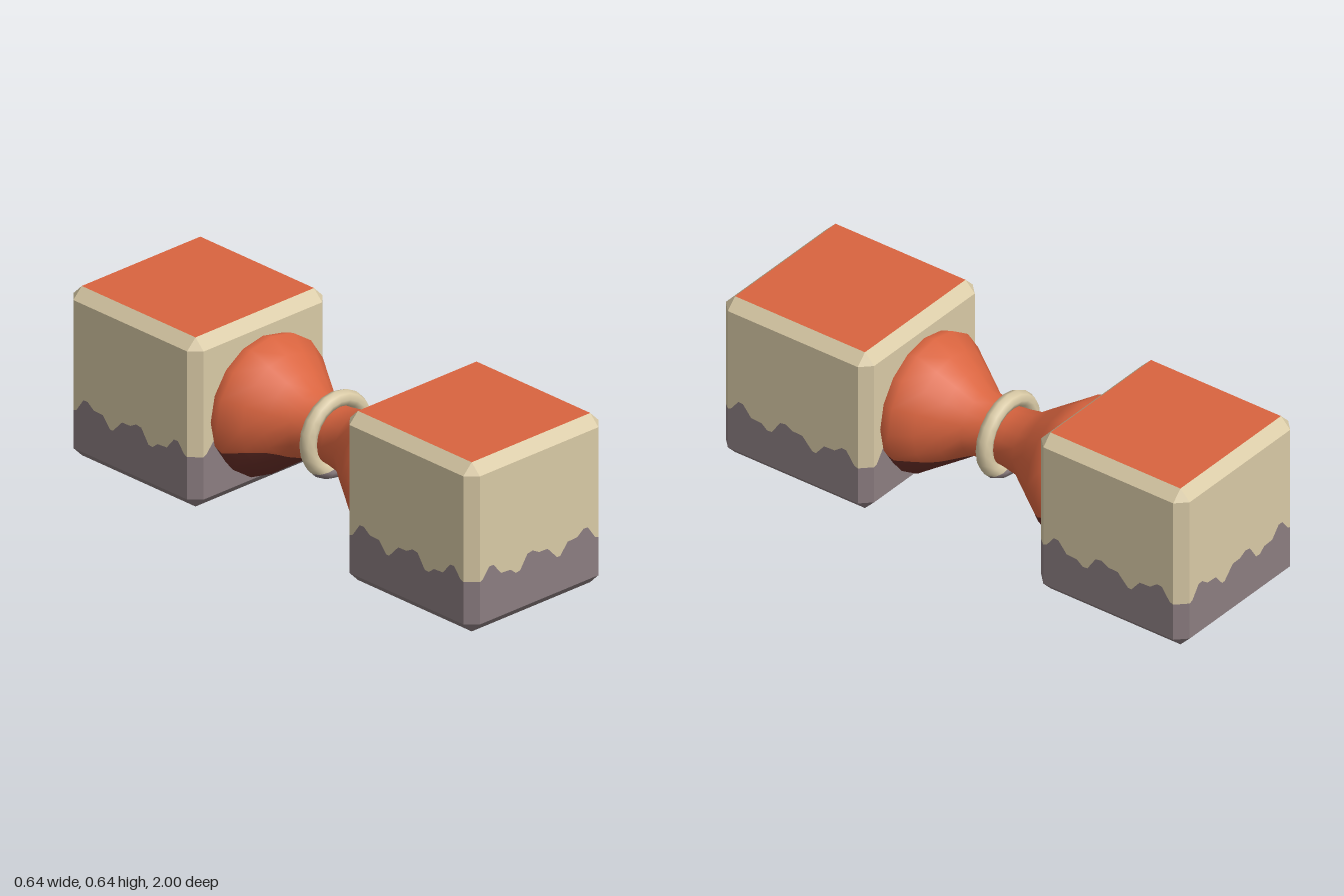
import * as THREE from 'three';

const material = (name, color) => {
  const m = new THREE.MeshStandardMaterial({ color });
  m.name = name;
  return m;
};

// Wavy paint line along one block face: [offset, height]
const LINE = [
  [-0.28, 0.2], [-0.265, 0.207], [-0.235, 0.245], [-0.215, 0.244], [-0.18, 0.202], [-0.135, 0.199],
  [-0.11, 0.179], [-0.09, 0.181], [-0.055, 0.233], [-0.03, 0.237], [0, 0.221], [0.04, 0.22],
  [0.085, 0.173], [0.1, 0.173], [0.135, 0.215], [0.18, 0.217], [0.21, 0.239], [0.23, 0.238],
  [0.265, 0.189], [0.28, 0.184],
];
function lineHeight(u) {
  const i = Math.min(Math.max(LINE.findIndex((p) => p[0] >= u - 1e-6), 1), LINE.length - 1);
  const [a, b] = [LINE[i - 1], LINE[i]];
  return THREE.MathUtils.mapLinear(u, a[0], b[0], a[1], b[1]);
}

// Cut a geometry along a height line into an upper and a lower mesh
function dipped(name, geometry, height, upperMat, lowerMat) {
  const geo = geometry.index ? geometry.toNonIndexed() : geometry;
  const { position, normal } = geo.attributes;
  const group = new THREE.Group();
  group.name = name;
  for (const [side, label, mat] of [[1, 'Upper', upperMat], [-1, 'Dipped', lowerMat]]) {
    const pos = [], nor = [];
    for (let t = 0; t < position.count; t += 3) {
      const tri = [0, 1, 2].map((k) => {
        const p = new THREE.Vector3().fromBufferAttribute(position, t + k);
        const n = new THREE.Vector3().fromBufferAttribute(normal, t + k);
        return { p, n, d: side * (p.y - height(p.x, p.z)) };
      });
      const poly = [];
      tri.forEach((a, k) => {
        const b = tri[(k + 1) % 3];
        if (a.d >= 0) poly.push(a);
        if (a.d * b.d < 0) {
          const s = a.d / (a.d - b.d);
          poly.push({ p: a.p.clone().lerp(b.p, s), n: a.n.clone().lerp(b.n, s).normalize() });
        }
      });
      for (let k = 1; k + 1 < poly.length; k++) {
        for (const v of [poly[0], poly[k], poly[k + 1]]) {
          pos.push(...v.p.toArray());
          nor.push(...v.n.toArray());
        }
      }
    }
    const out = new THREE.BufferGeometry();
    out.setAttribute('position', new THREE.Float32BufferAttribute(pos, 3));
    out.setAttribute('normal', new THREE.Float32BufferAttribute(nor, 3));
    const mesh = new THREE.Mesh(out, mat);
    mesh.name = name + label;
    group.add(mesh);
  }
  return group;
}

const HALF = 0.32, FLAT = 0.28;

// Chamfered wall shell, open at top and bottom
function shellGeometry() {
  const us = LINE.map((p) => p[0]);
  const back = [...us].reverse();
  const loop = [
    ...us.map((u) => [u, HALF]), ...us.map((u) => [HALF, -u]),
    ...back.map((u) => [u, -HALF]), ...back.map((u) => [-HALF, -u]),
  ];
  const inset = (v) => THREE.MathUtils.clamp(v, -FLAT, FLAT);
  const same = (v) => v;
  const levels = [[0, inset], [0.04, same], [0.6, same], [0.64, inset]];
  const pos = [];
  const tri = (a, b, c) => {
    const area = new THREE.Triangle(a, b, c).getArea();
    if (area > 1e-9) pos.push(...a.toArray(), ...b.toArray(), ...c.toArray());
  };
  for (let l = 0; l < 3; l++) {
    loop.forEach((p, i) => {
      const q = loop[(i + 1) % loop.length];
      const at = ([x, z], [y, f]) => new THREE.Vector3(f(x), y, f(z));
      const a = at(p, levels[l]), b = at(q, levels[l]);
      const c = at(q, levels[l + 1]), d = at(p, levels[l + 1]);
      tri(a, b, c);
      tri(a, c, d);
    });
  }
  const geo = new THREE.BufferGeometry();
  geo.setAttribute('position', new THREE.Float32BufferAttribute(pos, 3));
  geo.computeVertexNormals();
  return geo;
}

export function createModel() {
  const cream = material('cream', 0xd8c9a5);
  const red = material('terracotta red', 0xd9643f);
  const grey = material('dipped grey', 0x8b7d80);
  const darkRed = material('dipped dark red', 0x6a2f28);

  const model = new THREE.Group();
  model.name = 'doubleBlock';

  // Two end blocks with coloured top and bottom panels
  const shell = shellGeometry();
  const blockLine = (x, z) => lineHeight(Math.abs(x) > 0.31 ? -z : THREE.MathUtils.clamp(x, -FLAT, FLAT));
  for (const [name, z] of [['frontBlock', 0.68], ['backBlock', -0.68]]) {
    const block = dipped(name, shell, blockLine, cream, grey);
    const panel = new THREE.PlaneGeometry(FLAT * 2, FLAT * 2);
    const top = new THREE.Mesh(panel, red);
    top.name = name + 'TopPanel';
    top.rotation.x = -Math.PI / 2;
    top.position.y = 0.64;
    const bottom = new THREE.Mesh(panel, darkRed);
    bottom.name = name + 'BottomPanel';
    bottom.rotation.x = Math.PI / 2;
    block.add(top, bottom);
    block.position.z = z;
    model.add(block);
  }

  // Waisted connector between the blocks
  const half = [[0.105, 0], [0.108, 0.04], [0.12, 0.11], [0.165, 0.175], [0.212, 0.245], [0.26, 0.315], [0.245, 0.365]];
  const profile = [...half.slice(1).reverse().map(([r, y]) => [r, -y]), ...half]
    .map(([r, y]) => new THREE.Vector2(r, y));
  const waist = new THREE.LatheGeometry(profile, 16);
  waist.rotateX(Math.PI / 2).translate(0, 0.32, 0);
  const waistLine = (x, z) => 0.21 - 0.05 * z + 0.012 * Math.sin(x * 32);
  model.add(dipped('connector', waist, waistLine, red, darkRed));

  // Ring around the middle
  const ring = new THREE.TorusGeometry(0.132, 0.03, 8, 20);
  ring.translate(0, 0.32, 0);
  model.add(dipped('middleRing', ring, () => 0.205, cream, grey));

  return model;
}
